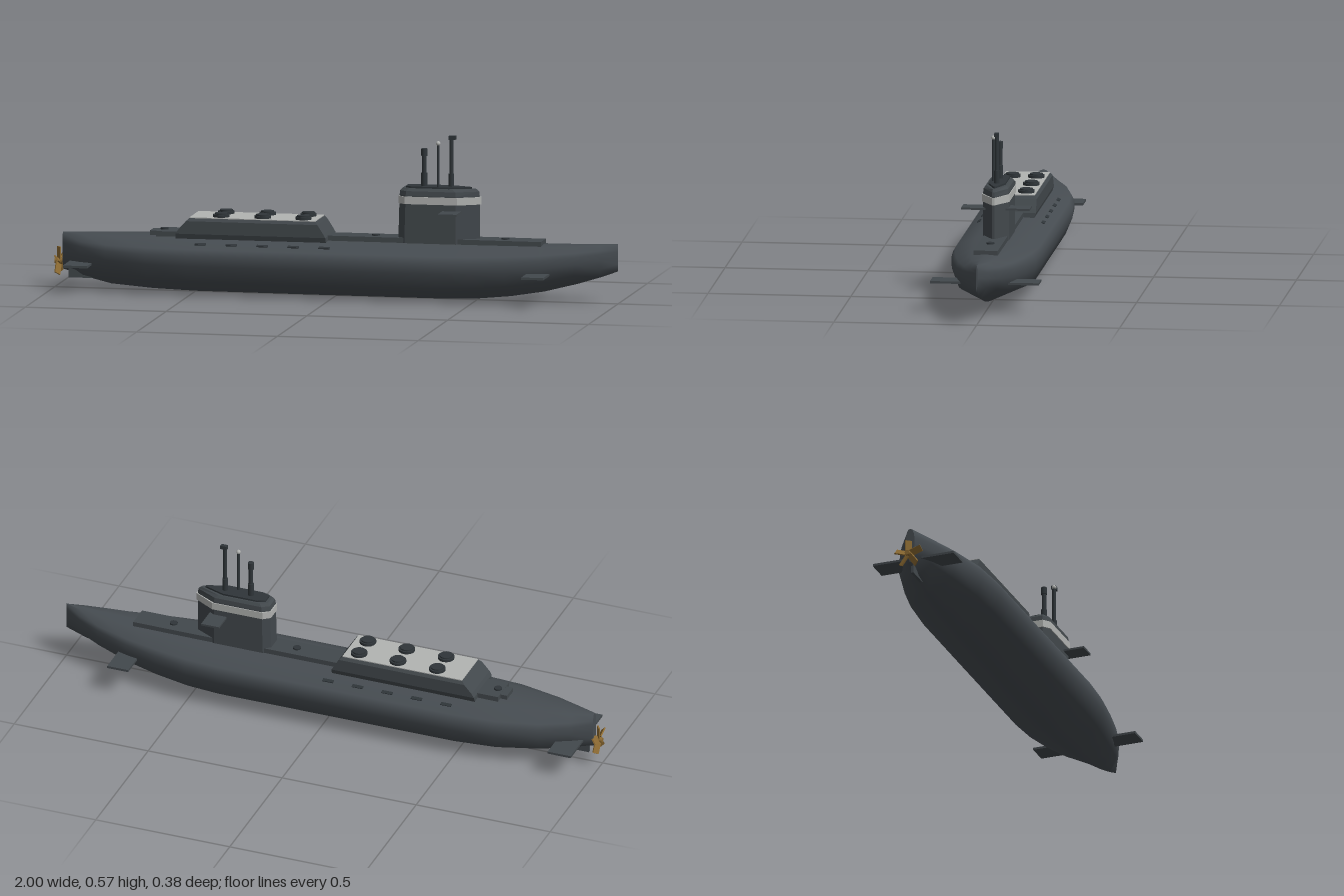
import * as THREE from 'three';

const paint = (name, color, flat = false) => {
  const m = new THREE.MeshStandardMaterial({ color });
  m.name = name;
  m.flatShading = flat;
  return m;
};

// Skin a series of equal-length rings and close both ends with flat caps.
function loft(rings) {
  const n = rings[0].length, pos = rings.flat(2), idx = [];
  for (let i = 0; i < rings.length - 1; i++) {
    for (let j = 0; j < n; j++) {
      const a = i * n + j, b = i * n + (j + 1) % n;
      idx.push(a, b, b + n, a, b + n, a + n);
    }
  }
  [rings[0], rings[rings.length - 1]].forEach((ring, end) => {
    const s = pos.length / 3;
    pos.push(...ring.flat());
    for (let j = 1; j < n - 1; j++) {
      idx.push(s, s + (end ? j : j + 1), s + (end ? j + 1 : j));
    }
  });
  const g = new THREE.BufferGeometry();
  g.setAttribute('position', new THREE.Float32BufferAttribute(pos, 3));
  g.setIndex(idx);
  g.computeVertexNormals();
  return g;
}

// Hull cross-section, from deck centre down the left side and up the other.
function hullRing([x, w, b, t]) {
  const half = [[0.5, 0.975], [0.92, 0.83], [1, 0.72], [0.99, 0.54], [0.84, 0.26]];
  const at = (u, v, s) => [x, b + (t - b) * v, w * u * s];
  return [at(0, 1, 1), ...half.map(p => at(...p, 1)), at(0, 0, 1),
    ...half.slice().reverse().map(p => at(...p, -1))];
}

// Rectangular ring at height y.
const rect = (y, x0, x1, z) => [[x0, y, z], [x1, y, z], [x1, y, -z], [x0, y, -z]];

// Sail outline: blunt tail, straight sides, pointed front.
const sailRing = (y, x0, x1, z) => [
  [x0, y, z * 0.6], [x0 + 0.025, y, z], [x1 - 0.075, y, z], [x1, y, z * 0.1],
  [x1, y, -z * 0.1], [x1 - 0.075, y, -z], [x0 + 0.025, y, -z], [x0, y, -z * 0.6]];

export function createModel() {
  const model = new THREE.Group();
  model.name = 'submarine';
  const hullGrey = paint('hull grey', 0x464c51);
  const plateGrey = paint('plate grey', 0x42484c, true);
  const dark = paint('dark fittings', 0x2f3539);
  const light = paint('light grey', 0xb2b4b2, true);
  const bronze = paint('bronze', 0x8c6a32);

  const add = (name, geo, mat, x = 0, y = 0, z = 0, parent = model) => {
    const m = new THREE.Mesh(geo, mat);
    m.name = name;
    m.position.set(x, y, z);
    parent.add(m);
    return m;
  };
  const box = (name, w, h, d, mat, x, y, z) =>
    add(name, new THREE.BoxGeometry(w, h, d), mat, x, y, z);
  const rod = (name, r, y0, y1, mat, x, z, seg = 12) =>
    add(name, new THREE.CylinderGeometry(r, r, y1 - y0, seg), mat, x, (y0 + y1) / 2, z);

  // Hull: x, half width, keel height, deck height
  const stations = [
    [-0.97, 0.016, 0.065, 0.194], [-0.9, 0.062, 0.042, 0.196], [-0.8, 0.108, 0.018, 0.197],
    [-0.65, 0.146, 0.006, 0.199], [-0.5, 0.157, 0.001, 0.2], [-0.1, 0.157, 0, 0.2],
    [0.38, 0.157, 0, 0.2], [0.5, 0.148, 0.004, 0.2], [0.62, 0.128, 0.016, 0.201],
    [0.74, 0.102, 0.036, 0.202], [0.86, 0.066, 0.067, 0.205], [0.94, 0.034, 0.092, 0.208],
    [1, 0.003, 0.114, 0.21]];
  add('hull', loft(stations.map(hullRing)), hullGrey);

  // Raised deck casing and deck fittings
  box('foredeckCasing', 0.79, 0.022, 0.084, plateGrey, 0.34, 0.204, 0);
  box('aftDeckCasing', 0.1, 0.02, 0.104, plateGrey, -0.58, 0.204, 0);
  box('aftDeckStep', 0.03, 0.018, 0.06, plateGrey, -0.64, 0.204, 0);
  for (const x of [-0.61, 0.14, 0.6]) rod('deckHatch', 0.014, 0.205, 0.22, dark, x, 0);

  // Launch housing with a pale roof and six round hatches
  add('launchHousing', loft([
    rect(0.185, -0.555, -0.02, 0.076), rect(0.212, -0.553, -0.022, 0.085),
    rect(0.226, -0.545, -0.03, 0.085), rect(0.257, -0.517, -0.05, 0.085),
    rect(0.267, -0.507, -0.058, 0.078)]), plateGrey);
  box('housingRoof', 0.446, 0.004, 0.154, light, -0.2825, 0.268, 0);
  for (const x of [-0.4, -0.253, -0.108]) {
    for (const z of [-0.042, 0.042]) {
      rod('launchHatch', 0.029, 0.266, 0.279, dark, x, z, 16);
      rod('launchHatchLid', 0.023, 0.279, 0.284, dark, x, z, 16);
    }
  }

  // Drain slots along the shoulders of the hull
  for (const s of [-1, 1]) {
    for (let i = 0; i < 5; i++) {
      const slot = box('drainSlot', 0.04, 0.004, 0.012, dark, -0.46 + i * 0.11, 0.181, s * 0.112);
      slot.rotation.x = s * 0.41;
    }
  }

  // Sail, painted band and cap
  add('sail', loft([
    sailRing(0.19, 0.225, 0.508, 0.045), sailRing(0.365, 0.23, 0.508, 0.045),
    sailRing(0.38, 0.232, 0.506, 0.043), sailRing(0.389, 0.24, 0.495, 0.036)]), plateGrey);
  add('sailBand', loft([
    sailRing(0.335, 0.226, 0.514, 0.048), sailRing(0.361, 0.226, 0.514, 0.048)]), light);
  add('sailCap', loft([
    sailRing(0.385, 0.25, 0.48, 0.03), sailRing(0.395, 0.25, 0.48, 0.03)]), dark);

  // Masts
  rod('rearMast', 0.008, 0.39, 0.525, dark, 0.312, 0);
  rod('rearMastSleeve', 0.011, 0.39, 0.44, dark, 0.312, 0);
  rod('rearMastHead', 0.011, 0.5, 0.525, dark, 0.312, 0);
  rod('antenna', 0.005, 0.39, 0.545, dark, 0.365, 0.017);
  add('antennaBall', new THREE.SphereGeometry(0.008, 12, 8),
    paint('antenna grey', 0xb2b4b2), 0.365, 0.547, 0.017);
  rod('periscope', 0.007, 0.39, 0.57, dark, 0.408, 0);
  rod('periscopeSleeve', 0.01, 0.39, 0.44, dark, 0.408, 0);
  box('periscopeHead', 0.024, 0.013, 0.015, dark, 0.412, 0.566, 0);

  // Diving planes and rudder
  box('sailPlanes', 0.066, 0.007, 0.24, plateGrey, 0.418, 0.31, 0);
  box('bowPlanes', 0.078, 0.008, 0.38, plateGrey, 0.735, 0.107, 0);
  box('sternPlanes', 0.086, 0.008, 0.302, plateGrey, -0.897, 0.094, 0);
  box('rudder', 0.085, 0.08, 0.01, plateGrey, -0.908, 0.075, 0);

  // Propeller
  const propeller = new THREE.Group();
  propeller.name = 'propeller';
  propeller.position.set(-0.985, 0.092, 0);
  model.add(propeller);
  const hub = add('propellerHub', new THREE.CylinderGeometry(0.012, 0.009, 0.03, 12), bronze, 0, 0, 0, propeller);
  hub.rotation.z = -Math.PI / 2;
  const bladeGeo = new THREE.BoxGeometry(0.005, 0.042, 0.024);
  bladeGeo.rotateY(0.65);
  bladeGeo.translate(0, 0.029, 0);
  for (let i = 0; i < 5; i++) {
    const blade = add('propellerBlade', bladeGeo, bronze, 0, 0, 0, propeller);
    blade.rotation.x = i * Math.PI * 2 / 5;
  }
  return model;
}
